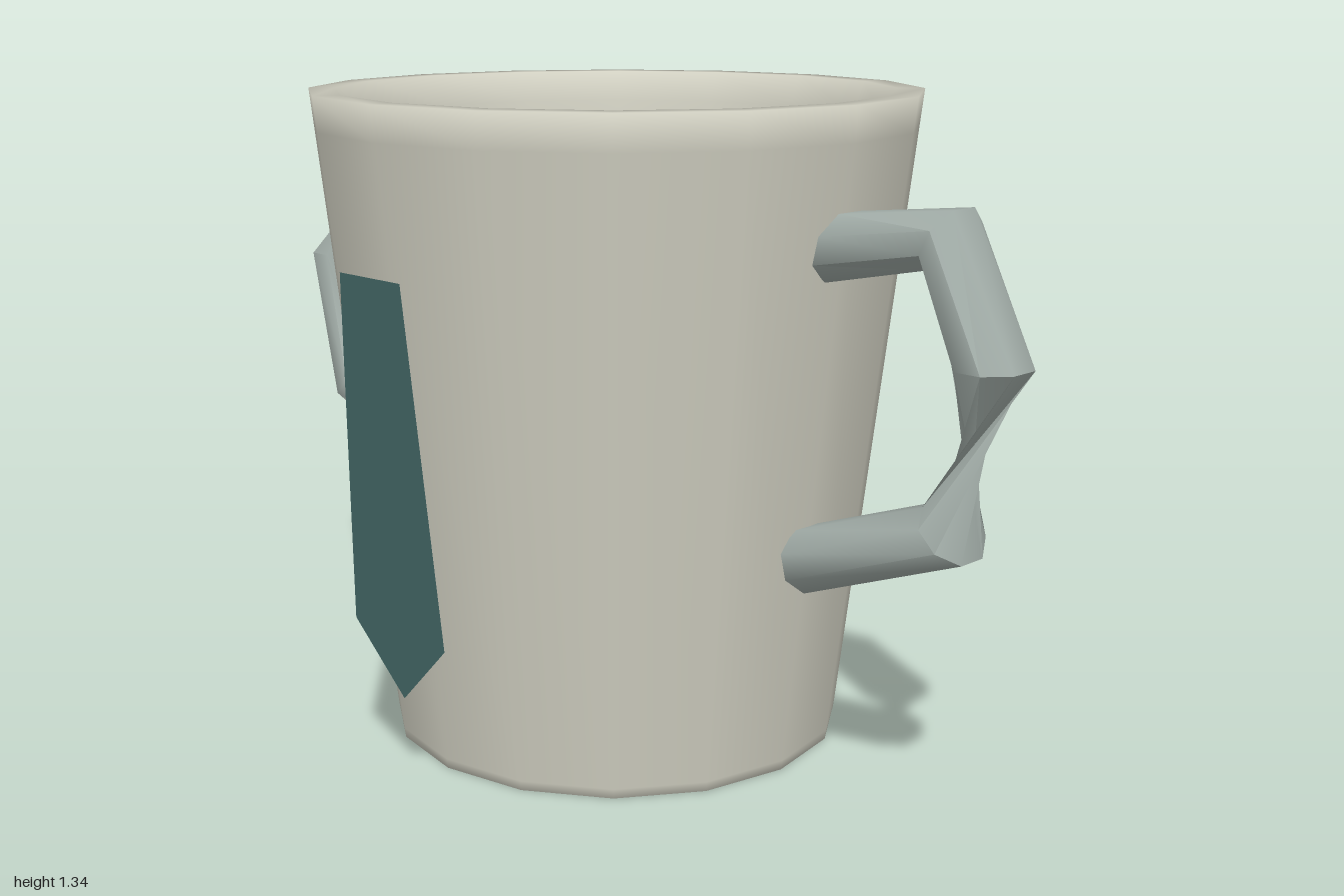
import * as THREE from 'three';
import { toCreasedNormals } from 'three/addons/utils/BufferGeometryUtils.js';

const SIDES = 16;
const CENTRE_Z = -0.005;

function paint(name, color, side = THREE.FrontSide) {
  const m = new THREE.MeshStandardMaterial({ color, side });
  m.name = name;
  return m;
}

function part(name, geometry, material) {
  const mesh = new THREE.Mesh(geometry, material);
  mesh.name = name;
  return mesh;
}

// Octagonal tube through [outer x, outer y, inner x, inner y] sections.
// The span after section `twistAt` joins corners three steps apart, pinching it.
function handleGeometry(side, twistAt) {
  const sections = [
    [0.61, 1.14, 0.58, 1.01],
    [0.86, 1.17, 0.81, 1.06],
    [1.0, 0.9, 0.87, 0.9],
    [0.91, 0.54, 0.82, 0.63],
    [0.55, 0.4, 0.52, 0.52],
  ];
  const n = 8, depth = 0.078, pos = [], idx = [];
  const tri = (a, b, c) => (side > 0 ? idx.push(a, b, c) : idx.push(a, c, b));

  sections.forEach(([ox, oy, ix, iy], s) => {
    const shift = s > twistAt ? 3 : 0;
    for (let k = 0; k < n; k++) {
      const a = ((k + shift + 0.5) / n) * Math.PI * 2;
      const u = Math.cos(a) / Math.cos(Math.PI / n) / 2 + 0.5;
      const w = Math.sin(a) / Math.cos(Math.PI / n);
      pos.push(side * (ix + (ox - ix) * u), iy + (oy - iy) * u, w * depth);
    }
  });
  for (let s = 0; s < sections.length - 1; s++) {
    for (let k = 0; k < n; k++) {
      const a = s * n + k, b = s * n + ((k + 1) % n);
      tri(a, b, b + n);
      tri(a, b + n, a + n);
    }
  }
  // End caps
  const last = (sections.length - 1) * n;
  for (let k = 1; k < n - 1; k++) {
    tri(0, k + 1, k);
    tri(last, last + k, last + k + 1);
  }
  const g = new THREE.BufferGeometry();
  g.setAttribute('position', new THREE.Float32BufferAttribute(pos, 3));
  g.setIndex(idx);
  return toCreasedNormals(g, 0.95);
}

export function createModel() {
  const model = new THREE.Group();
  model.name = 'twoHandledCup';

  const cream = paint('cream', 0xd0cfc1);
  const greyGreen = paint('greyGreen', 0xa3aea9, THREE.DoubleSide);
  const brown = paint('brown', 0x775d47);
  const teal = paint('teal', 0x446a68, THREE.DoubleSide);

  // Tapered body with a thick rim and inner wall
  const profile = [
    [0, 0], [0.465, 0], [0.475, 0], [0.4775, 0.02], [0.617, 1.265],
    [0.625, 1.335], [0.57, 1.335], [0.545, 1.27], [0.53, 1.15],
  ].map(([r, y]) => new THREE.Vector2(r, y));
  const body = part('body', new THREE.LatheGeometry(profile, SIDES), cream);
  body.position.z = CENTRE_Z;
  model.add(body);

  // Drink surface
  const drink = part('drink', new THREE.CircleGeometry(0.535, SIDES), brown);
  drink.rotation.x = -Math.PI / 2;
  drink.position.set(0, 1.19, CENTRE_Z);
  model.add(drink);

  // Handles, each pinched in a different span
  for (const [name, side, twistAt] of [['leftHandle', 1, 2], ['rightHandle', -1, 1]]) {
    const handle = part(name, handleGeometry(side, twistAt), greyGreen);
    handle.position.z = CENTRE_Z;
    model.add(handle);
  }

  // Necktie panel, leaning with the front wall
  const outline = [[-0.09, 1.02], [-0.138, 0.315], [0, 0.18], [0.138, 0.315], [0.09, 1.02]];
  const tie = new THREE.ShapeGeometry(
    new THREE.Shape(outline.map(([x, y]) => new THREE.Vector2(x, y))));
  const p = tie.attributes.position;
  for (let i = 0; i < p.count; i++) p.setZ(i, 0.575 + (p.getY(i) - 0.18) * 0.0655);
  tie.computeVertexNormals();
  model.add(part('necktie', tie, teal));

  return model;
}
